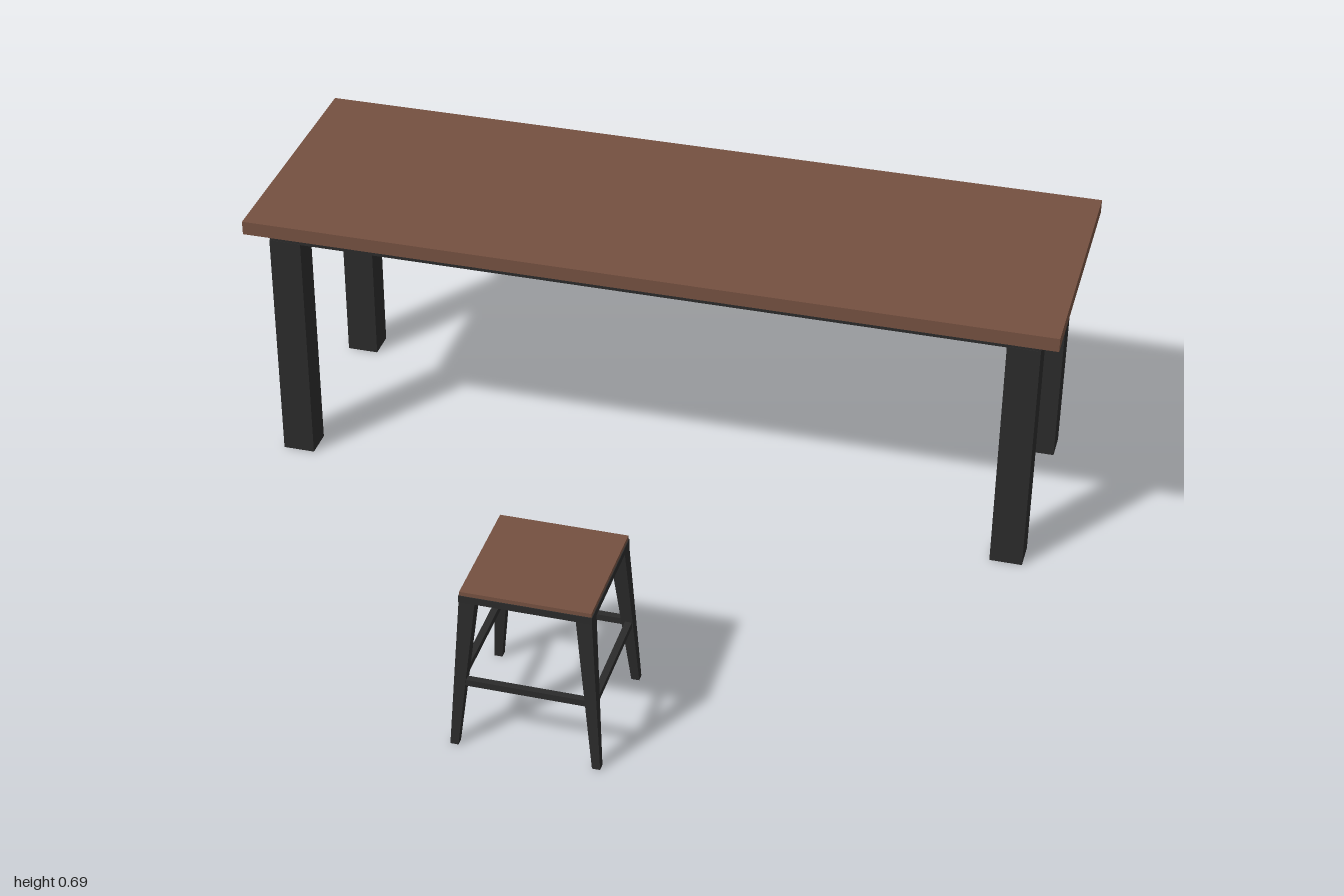
import * as THREE from 'three';

const wood = new THREE.MeshStandardMaterial({ color: 0x745040 });
const metal = new THREE.MeshStandardMaterial({ color: 0x2a2a2a });

// Box given by its lower and upper limits on each axis
function box(name, material, [x0, x1], [y0, y1], [z0, z1]) {
  const mesh = new THREE.Mesh(new THREE.BoxGeometry(x1 - x0, y1 - y0, z1 - z0), material);
  mesh.name = name;
  mesh.position.set((x0 + x1) / 2, (y0 + y1) / 2, (z0 + z1) / 2);
  return mesh;
}

function createTable() {
  const table = new THREE.Group();
  table.name = 'table';
  table.position.z = -0.48;
  table.add(box('tableTop', wood, [-1, 1], [0.652, 0.687], [-0.332, 0.332]));
  table.add(box('tableUnderframe', metal, [-0.952, 0.952], [0.612, 0.652], [-0.281, 0.281]));
  for (const sx of [-1, 1]) {
    for (const sz of [-1, 1]) {
      const leg = box('tableLeg', metal, [-0.04, 0.04], [0, 0.614], [-0.037, 0.037]);
      leg.position.x = sx * 0.913;
      leg.position.z = sz * 0.245;
      table.add(leg);
    }
  }
  return table;
}

// Splayed leg: wide under the seat, narrow at the foot, outer corner kept square
function stoolLegGeometry(sx, sz, height) {
  const geometry = new THREE.BoxGeometry(1, 1, 1);
  const p = geometry.attributes.position;
  for (let i = 0; i < p.count; i++) {
    const top = p.getY(i) > 0;
    const outer = top ? 0.151 : 0.175;
    const width = top ? 0.037 : 0.019;
    const place = (v, s) => s * (outer - (v * s > 0 ? 0 : width));
    p.setXYZ(i, place(p.getX(i), sx), top ? height : 0, place(p.getZ(i), sz));
  }
  geometry.computeVertexNormals();
  return geometry;
}

function createStool() {
  const stool = new THREE.Group();
  stool.name = 'stool';
  stool.position.z = 0.638;
  stool.add(box('stoolSeat', wood, [-0.15, 0.15], [0.4, 0.412], [-0.15, 0.15]));
  stool.add(box('stoolSeatFrame', metal, [-0.152, 0.152], [0.385, 0.402], [-0.152, 0.152]));
  for (const s of [-1, 1]) {
    for (const t of [-1, 1]) {
      const leg = new THREE.Mesh(stoolLegGeometry(s, t, 0.395), metal);
      leg.name = 'stoolLeg';
      stool.add(leg);
    }
    // Stretchers between the legs
    const across = box('stoolStretcher', metal, [-0.155, 0.155], [0.163, 0.179], [-0.008, 0.008]);
    across.position.z = s * 0.154;
    const along = box('stoolStretcher', metal, [-0.008, 0.008], [0.163, 0.179], [-0.155, 0.155]);
    along.position.x = s * 0.154;
    stool.add(across, along);
  }
  return stool;
}

export function createModel() {
  const model = new THREE.Group();
  model.name = 'tableAndStool';
  model.add(createTable(), createStool());
  return model;
}
